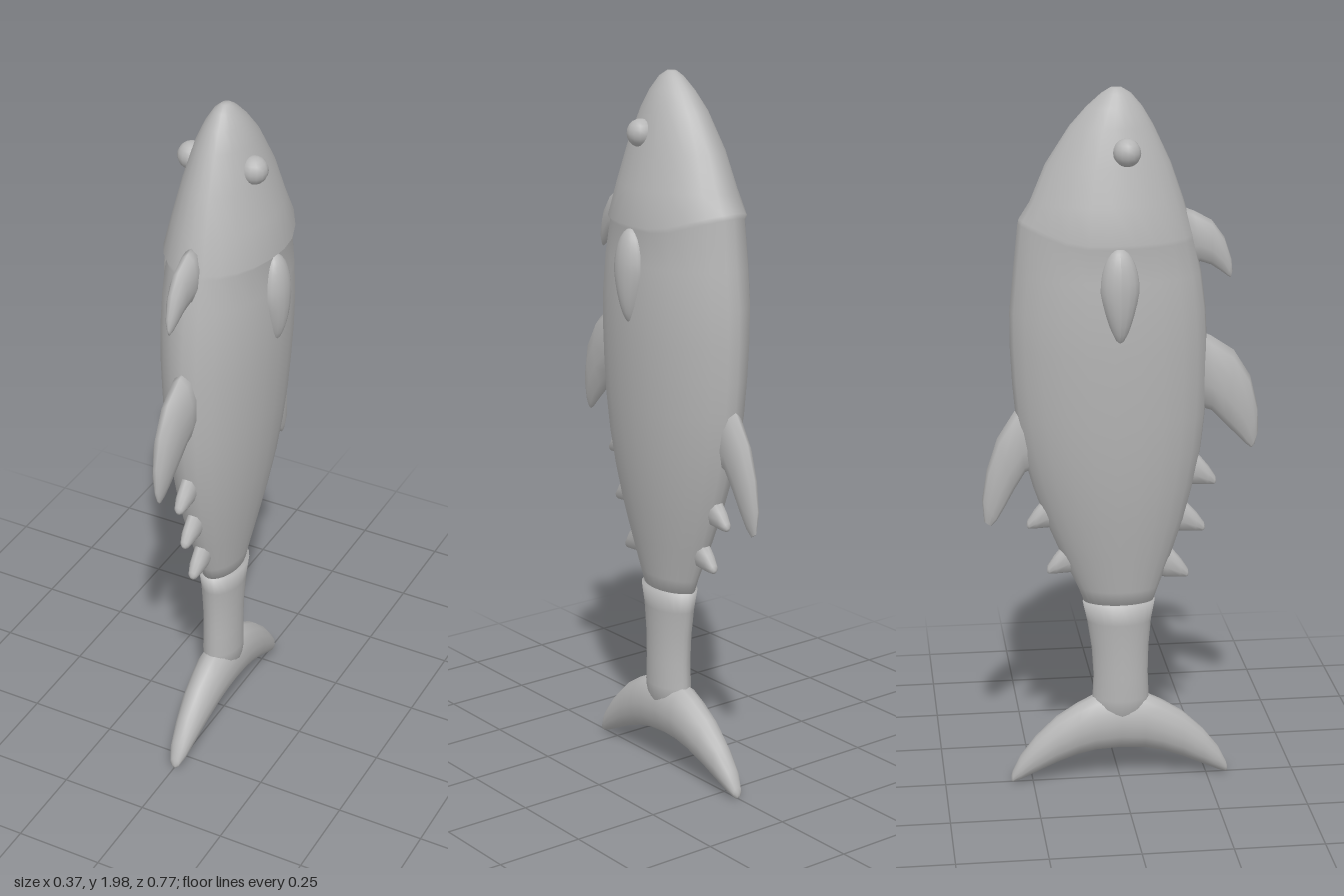
import * as THREE from 'three';

const skin = new THREE.MeshStandardMaterial({ color: 0xb6b6b6 });
skin.name = 'grey skin';

// Closed skin through rings of equal point count, with fan caps; always wound outwards
function loft(name, rings) {
  const n = rings[0].length, pos = [], idx = [];
  rings.forEach(r => r.forEach(p => pos.push(...p)));
  for (let i = 0; i < rings.length - 1; i++)
    for (let j = 0; j < n; j++) {
      const a = i * n + j, b = i * n + (j + 1) % n;
      idx.push(a, b, a + n, b, b + n, a + n);
    }
  [0, rings.length - 1].forEach((k, end) => {
    const c = pos.length / 3;
    for (let m = 0; m < 3; m++) pos.push(rings[k].reduce((s, p) => s + p[m], 0) / n);
    for (let j = 0; j < n; j++) {
      const a = k * n + j, b = k * n + (j + 1) % n;
      if (end) idx.push(a, b, c); else idx.push(b, a, c);
    }
  });
  const v = i => new THREE.Vector3().fromArray(pos, i * 3);
  let volume = 0;
  for (let i = 0; i < idx.length; i += 3)
    volume += v(idx[i]).dot(v(idx[i + 1]).cross(v(idx[i + 2])));
  if (volume < 0) idx.reverse();
  const g = new THREE.BufferGeometry();
  g.setAttribute('position', new THREE.Float32BufferAttribute(pos, 3));
  g.setIndex(idx);
  g.computeVertexNormals();
  const mesh = new THREE.Mesh(g, skin);
  mesh.name = name;
  return mesh;
}

// Horizontal oval ring; the back half is a little more pointed
function oval([y, front, back, half, sweep = 0], n = 24) {
  const zc = (front + back) / 2, rz = (front - back) / 2;
  return Array.from({ length: n }, (_, j) => {
    const t = j / n * Math.PI * 2, c = Math.cos(t), s = Math.sin(t);
    const x = Math.sign(c) * Math.pow(Math.abs(c), s < 0 ? 1.25 : 1.05) * half;
    return [x, y + sweep * Math.max(0, -s - 0.4), zc + s * rz];
  });
}

// Fin from sections [leading z, y, trailing z, y, half thickness]
function fin(name, sections) {
  return loft(name, sections.map(([z0, y0, z1, y1, t]) =>
    Array.from({ length: 10 }, (_, j) => {
      const a = j / 10 * Math.PI * 2, k = (1 - Math.cos(a)) / 2;
      return [Math.sin(a) * t, y0 + (y1 - y0) * k, z0 + (z1 - z0) * k];
    })));
}

export function createModel() {
  const fish = new THREE.Group();
  fish.name = 'fish';

  // Body standing nose up, with the step of the gill covers at 1.6
  fish.add(loft('body', [
    [2.0, 0.005, -0.025, 0.012], [1.985, 0.03, -0.05, 0.03], [1.95, 0.06, -0.09, 0.053],
    [1.9, 0.09, -0.135, 0.077], [1.8, 0.137, -0.2, 0.108], [1.7, 0.172, -0.242, 0.134],
    [1.605, 0.199, -0.272, 0.158, 0.08], [1.592, 0.202, -0.275, 0.145, 0.08],
    [1.5, 0.222, -0.29, 0.152], [1.4, 0.235, -0.3, 0.155], [1.3, 0.24, -0.3, 0.153],
    [1.2, 0.24, -0.295, 0.147], [1.1, 0.236, -0.286, 0.14], [1.0, 0.225, -0.268, 0.13],
    [0.9, 0.205, -0.24, 0.117], [0.8, 0.18, -0.205, 0.1], [0.7, 0.147, -0.163, 0.08],
    [0.6, 0.11, -0.116, 0.06], [0.55, 0.092, -0.097, 0.05],
  ].map(r => oval(r))));

  // Tail stem, flaring into a collar round the body
  fish.add(loft('tailStem', [
    [0.56, 0.1, -0.105, 0.064], [0.5, 0.089, -0.092, 0.058], [0.42, 0.082, -0.08, 0.054],
    [0.34, 0.08, -0.075, 0.053], [0.27, 0.083, -0.078, 0.054], [0.2, 0.08, -0.08, 0.05],
  ].map(r => oval(r))));

  // Crescent tail fin: [z, top y, bottom y, half thickness], mirrored
  const half = [[0.07, 0.275, 0.108, 0.054], [0.12, 0.25, 0.097, 0.05], [0.18, 0.212, 0.075, 0.044],
    [0.24, 0.155, 0.047, 0.035], [0.285, 0.097, 0.026, 0.026], [0.308, 0.05, 0.018, 0.014], [0.312, 0.036, 0.02, 0.004]];
  const span = [...half.map(([z, ...r]) => [-z, ...r]).reverse(), [0, 0.285, 0.112, 0.055], ...half];
  fish.add(loft('tailFin', span.map(([z, top, bottom, t]) =>
    Array.from({ length: 14 }, (_, j) => {
      const a = j / 14 * Math.PI * 2;
      return [Math.cos(a) * t, (top + bottom) / 2 + Math.sin(a) * (top - bottom) / 2, z];
    }))));

  // Large curved fins on the front and back edges
  fish.add(fin('frontUpperFin', [
    [0.16, 1.68, 0.18, 1.51, 0.03], [0.2, 1.665, 0.22, 1.525, 0.03], [0.25, 1.638, 0.25, 1.515, 0.026],
    [0.285, 1.59, 0.275, 1.498, 0.02], [0.305, 1.53, 0.295, 1.483, 0.011], [0.308, 1.497, 0.303, 1.479, 0.003],
  ]));
  fish.add(fin('frontLowerFin', [
    [0.2, 1.34, 0.21, 1.12, 0.04], [0.25, 1.318, 0.255, 1.105, 0.04], [0.315, 1.275, 0.298, 1.06, 0.035],
    [0.362, 1.2, 0.33, 1.028, 0.028], [0.384, 1.11, 0.352, 1.005, 0.018], [0.386, 1.04, 0.366, 0.994, 0.008],
    [0.377, 1.005, 0.37, 0.994, 0.003],
  ]));
  fish.add(fin('backFin', [
    [-0.24, 1.15, -0.22, 0.96, 0.032], [-0.29, 1.12, -0.262, 0.945, 0.032], [-0.338, 1.045, -0.293, 0.895, 0.028],
    [-0.368, 0.955, -0.32, 0.845, 0.022], [-0.382, 0.87, -0.342, 0.808, 0.014], [-0.377, 0.805, -0.358, 0.792, 0.004],
  ]));

  // Small finlets: [root z, top y, side, tip reach]
  [[0.215, 0.99, 1, 0.055], [0.18, 0.855, 1, 0.06], [0.14, 0.72, 1, 0.055],
    [-0.205, 0.88, -1, 0.055], [-0.15, 0.745, -1, 0.055]].forEach(([z, y, s, reach], i) => {
    fish.add(fin('finlet' + (i + 1), [
      [z - s * 0.04, y + 0.01, z - s * 0.05, y - 0.09, 0.024], [z, y - 0.005, z - s * 0.01, y - 0.098, 0.024],
      [z + s * reach * 0.6, y - 0.045, z + s * reach * 0.5, y - 0.1, 0.02],
      [z + s * reach * 0.95, y - 0.075, z + s * reach * 0.85, y - 0.1, 0.013],
      [z + s * reach, y - 0.088, z + s * reach * 0.95, y - 0.098, 0.005],
    ]));
  });

  // Paired eyes and side fins
  for (const s of [1, -1]) {
    const eye = new THREE.Mesh(new THREE.SphereGeometry(0.038, 14, 10), skin);
    eye.name = s > 0 ? 'leftEye' : 'rightEye';
    eye.position.set(s * 0.09, 1.84, 0.008);
    fish.add(eye);

    const g = new THREE.SphereGeometry(1, 16, 14), p = g.attributes.position;
    for (let i = 0; i < p.count; i++) {
      const y = p.getY(i), w = y < 0 ? 1 + 0.4 * y : 1;
      p.setXYZ(i, p.getX(i) * 0.042, 1.48 + y * (y < 0 ? 0.145 : 0.115), -0.017 + p.getZ(i) * 0.054 * w);
    }
    g.computeVertexNormals();
    const side = new THREE.Mesh(g, skin);
    side.name = s > 0 ? 'leftSideFin' : 'rightSideFin';
    side.position.x = s * 0.141;
    fish.add(side);
  }
  return fish;
}
